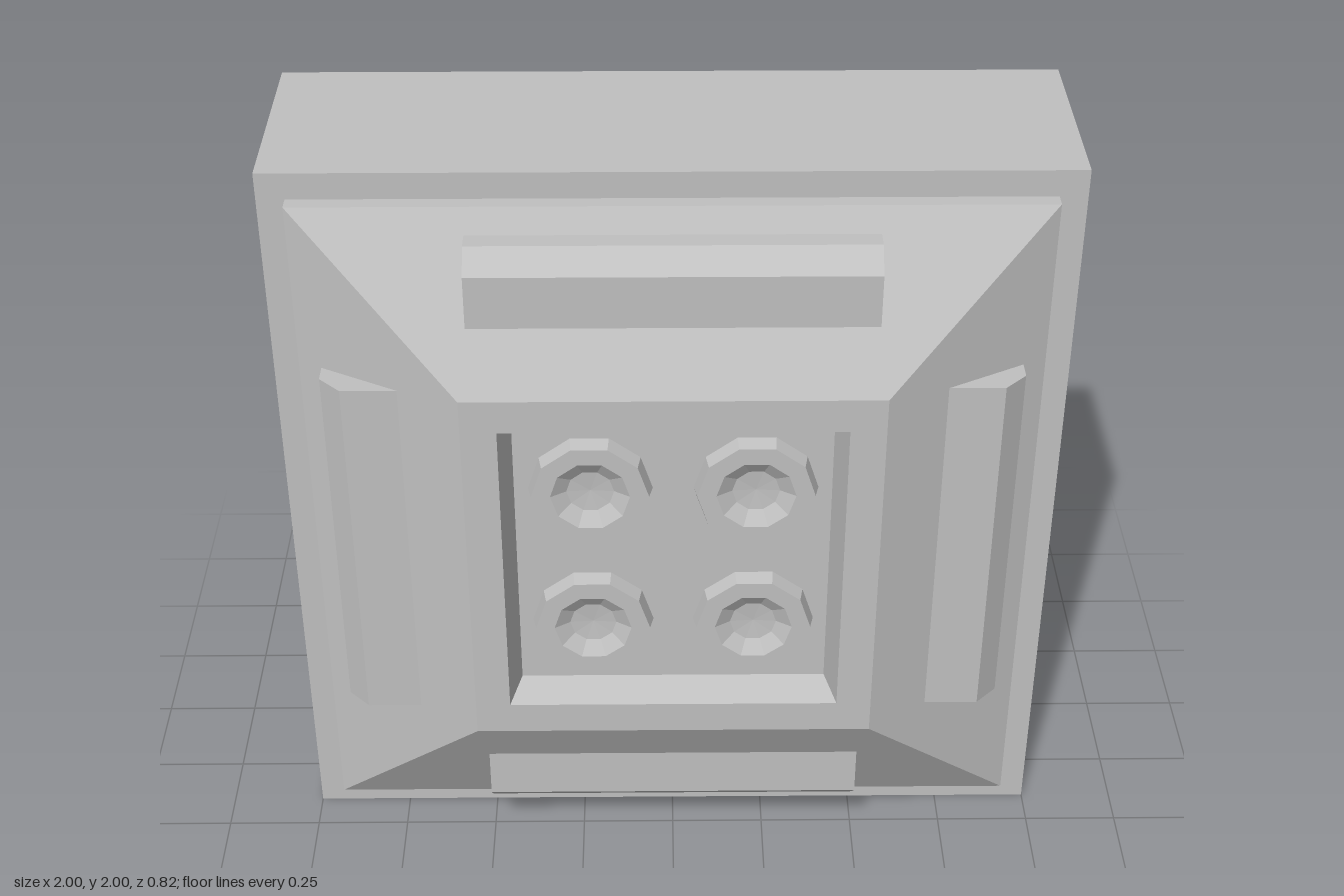
import * as THREE from 'three';

const grey = new THREE.MeshStandardMaterial({ color: 0xc0c0c0, side: THREE.DoubleSide });
grey.name = 'lightGrey';

function facet(geometry) {
  const g = geometry.index ? geometry.toNonIndexed() : geometry;
  g.computeVertexNormals();
  return g;
}

function mesh(name, geometry) {
  const m = new THREE.Mesh(geometry, grey);
  m.name = name;
  return m;
}

// Polygonal rings [apothem or radius, z] joined along the z axis
function rings(profile, sides, start, scale = 1) {
  const points = profile.map(([r, z]) => new THREE.Vector2(r * scale, z));
  const g = new THREE.LatheGeometry(points, sides, start);
  g.rotateX(Math.PI / 2);
  return facet(g);
}

const squareRings = (profile) => rings(profile, 4, Math.PI / 4, Math.SQRT2);

// Raised bar running from the centre out to one side, open at the back
const HALF = 0.5, PLATE = 0.33;
const barProfile = [[0.87, 0.22], [0.87, 0.275], [0.815, PLATE], [HALF, PLATE]];

function makeBar(name) {
  const bar = new THREE.Group();
  bar.name = name;
  const face = [];
  for (let i = 0; i < barProfile.length - 1; i++) {
    const [y0, z0] = barProfile[i], [y1, z1] = barProfile[i + 1];
    const a = [HALF, y0, z0], b = [-HALF, y0, z0], c = [-HALF, y1, z1], d = [HALF, y1, z1];
    face.push(...a, ...b, ...c, ...a, ...c, ...d);
  }
  const g = new THREE.BufferGeometry();
  g.setAttribute('position', new THREE.Float32BufferAttribute(face, 3));
  bar.add(mesh('barFace', facet(g)));

  // Side walls, drawn in the (z, y) plane and turned sideways
  const outline = [[0, 0.22], ...barProfile.slice(0, 3), [0, PLATE]];
  const wall = new THREE.Shape(outline.map(([y, z]) => new THREE.Vector2(-z, y)));
  for (const side of [-1, 1]) {
    const w = mesh('barEnd', new THREE.ShapeGeometry(wall));
    w.rotation.y = Math.PI / 2;
    w.position.x = side * HALF;
    bar.add(w);
  }
  return bar;
}

export function createModel() {
  const model = new THREE.Group();
  model.name = 'wallPanel';
  model.position.y = 0;
  const panel = new THREE.Group();
  panel.name = 'panel';
  panel.position.y = 1;
  model.add(panel);

  // Open-backed housing with its front lip
  panel.add(mesh('housing', squareRings([[1, -0.41], [1, 0.15], [0.93, 0.15]])));

  // Sloped bezel and the sunken well in its middle
  panel.add(mesh('bezel', squareRings([
    [0.93, 0.15], [0.93, 0.19], [0.52, 0.415], [0.43, 0.415], [0.4, PLATE],
  ])));

  // Four bars around the bezel
  ['topBar', 'rightBar', 'bottomBar', 'leftBar'].forEach((name, i) => {
    const bar = makeBar(name);
    bar.rotation.z = i * Math.PI / 2;
    panel.add(bar);
  });

  // Centre plate with four ten-sided openings
  const plate = new THREE.Shape([[-1, -1], [1, -1], [1, 1], [-1, 1]]
    .map(([x, y]) => new THREE.Vector2(x * HALF, y * HALF)));
  const capProfile = [[0.157, PLATE], [0.148, 0.37], [0.1, 0.37], [0.06, 0.345], [0, 0.34]];
  for (const sx of [-1, 1]) {
    for (const sy of [-1, 1]) {
      const cx = sx * 0.208, cy = sy * 0.208;
      const hole = [];
      for (let i = 0; i < 10; i++) {
        const a = -i * Math.PI / 5;
        hole.push(new THREE.Vector2(cx + 0.157 * Math.cos(a), cy + 0.157 * Math.sin(a)));
      }
      plate.holes.push(new THREE.Path(hole));

      // Raised, dished cap over the opening
      const cap = mesh('dishedCap', rings(capProfile, 10, Math.PI / 2));
      cap.position.set(cx, cy, 0);
      panel.add(cap);
    }
  }
  const centre = mesh('centrePlate', new THREE.ShapeGeometry(plate));
  centre.position.z = PLATE;
  panel.add(centre);

  return model;
}
